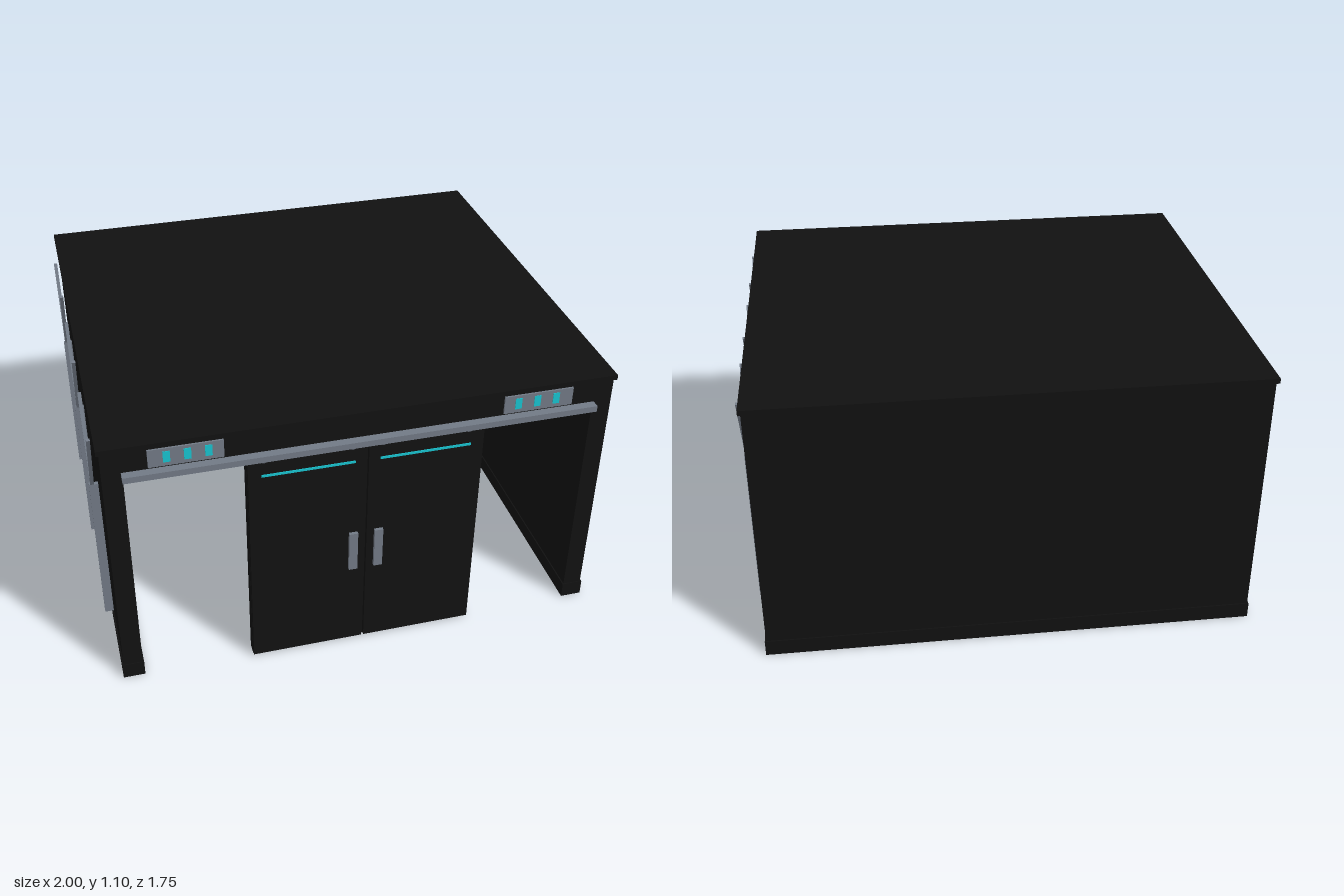
import * as THREE from 'three';

const mat = (name, color) => {
  const m = new THREE.MeshStandardMaterial({ color });
  m.name = name;
  return m;
};

export function createModel() {
  const root = new THREE.Group();
  root.name = 'washroomBuilding';
  const black = mat('black', 0x111111);
  const steel = mat('steel', 0x727a86);
  const darkSteel = mat('darkSteel', 0x4b5058);
  const white = mat('white', 0xe2e5e9);
  const cyan = mat('cyan', 0x18c4d0);

  const add = (name, geometry, material, parent = root) => {
    const m = new THREE.Mesh(geometry, material);
    m.name = name;
    parent.add(m);
    return m;
  };
  // box given by its extents on each axis
  const box = (name, material, [x0, x1], [y0, y1], [z0, z1], parent = root) => {
    const m = add(name, new THREE.BoxGeometry(Math.abs(x1 - x0), y1 - y0, z1 - z0), material, parent);
    m.position.set((x0 + x1) / 2, (y0 + y1) / 2, (z0 + z1) / 2);
    return m;
  };

  // shell: roof, back wall, partition, door backing and header
  box('roof', black, [-0.975, 0.975], [1.08, 1.1], [-0.876, 0.852]);
  box('backWall', black, [-0.965, 0.965], [0, 1.08], [-0.866, -0.82]);
  box('backPlinth', black, [-0.97, 0.97], [0, 0.065], [-0.871, -0.815]);
  box('partition', black, [-0.02, 0.02], [0, 1.08], [-0.82, 0.8]);
  box('centreFrontWall', black, [-0.45, 0.45], [0, 0.95], [0.8, 0.843]);
  box('header', black, [-0.965, 0.965], [0.95, 1.08], [0.79, 0.843]);
  box('doorRail', steel, [-0.895, 0.895], [0.965, 0.99], [0.84, 0.877]);

  // both halves, mirrored by sign s
  for (const s of [1, -1]) {
    const half = new THREE.Group();
    half.name = s > 0 ? 'leftHalf' : 'rightHalf';
    root.add(half);
    const b = (name, m, x, y, z) => box(name, m, [s * x[0], s * x[1]], y, z, half);

    b('sideWall', black, [0.89, 0.965], [0, 1.08], [-0.866, 0.843]);
    b('sidePlinth', black, [0.885, 0.97], [0, 0.065], [-0.871, 0.848]);

    // branching ribs on the outside wall
    for (const z of [0.527, -0.012, -0.551]) {
      b('ribPost', steel, [0.965, 1.0], [0.07, 0.725], [z - 0.008, z + 0.008]);
      for (const d of [1, -1]) {
        const branch = add('ribBranch', new THREE.BoxGeometry(0.014, 0.355, 0.011), steel, half);
        branch.position.set(s * 0.988, 0.88, z + d * 0.079);
        branch.rotation.x = d * Math.atan2(0.157, 0.315);
      }
    }

    // sliding door with light strip, handle and rollers
    b('door', black, [0.004, 0.45], [0.01, 0.955], [0.847, 0.864]);
    b('doorLight', cyan, [0.048, 0.4], [0.892, 0.902], [0.863, 0.867]);
    b('doorHandle', steel, [0.033, 0.067], [0.385, 0.562], [0.863, 0.877]);
    for (const x of [0.057, 0.39]) {
      const roller = add('doorRoller', new THREE.CylinderGeometry(0.013, 0.013, 0.016, 16), darkSteel, half);
      roller.rotation.x = Math.PI / 2;
      roller.position.set(s * x, 0.966, 0.858);
    }

    // status sign over the opening
    b('sign', steel, [0.528, 0.8], [0.998, 1.072], [0.84, 0.85]);
    for (const x of [0.583, 0.658, 0.733])
      b('signLight', cyan, [x - 0.013, x + 0.013], [1.014, 1.06], [0.849, 0.852]);

    // toilet: oval bowl, seat and cistern
    const bowl = add('toiletBowl', new THREE.CylinderGeometry(0.086, 0.086, 0.175, 32), white, half);
    bowl.scale.z = 1.7;
    bowl.position.set(s * 0.718, 0.0875, -0.67);
    const seat = add('toiletSeat', new THREE.CylinderGeometry(0.08, 0.08, 0.016, 32), white, half);
    seat.scale.z = 1.7;
    seat.position.set(s * 0.718, 0.183, -0.67);
    b('cisternFrame', darkSteel, [0.627, 0.809], [0.2, 0.452], [-0.82, -0.775]);
    b('cistern', steel, [0.632, 0.804], [0.206, 0.446], [-0.8, -0.765]);
    b('flushButton', cyan, [0.696, 0.74], [0.404, 0.42], [-0.766, -0.761]);

    // grab bar on the back wall
    b('grabBar', darkSteel, [0.3, 0.59], [0.385, 0.4], [-0.8, -0.785]);
    for (const x of [0.33, 0.565])
      b('grabBarMount', darkSteel, [x - 0.011, x + 0.011], [0.379, 0.398], [-0.82, -0.787]);

    // fittings on the partition
    b('basin', white, [0.02, 0.22], [0.34, 0.43], [-0.34, -0.09]);
    b('basinBowl', darkSteel, [0.05, 0.195], [0.428, 0.432], [-0.31, -0.12]);
    b('mirror', white, [0.02, 0.04], [0.33, 0.6], [0.15, 0.6]);
    b('mirrorLight', cyan, [0.039, 0.044], [0.51, 0.525], [0.26, 0.52]);
    b('wasteBin', black, [0.065, 0.165], [0, 0.25], [-0.06, 0.087]);
  }
  return root;
}
